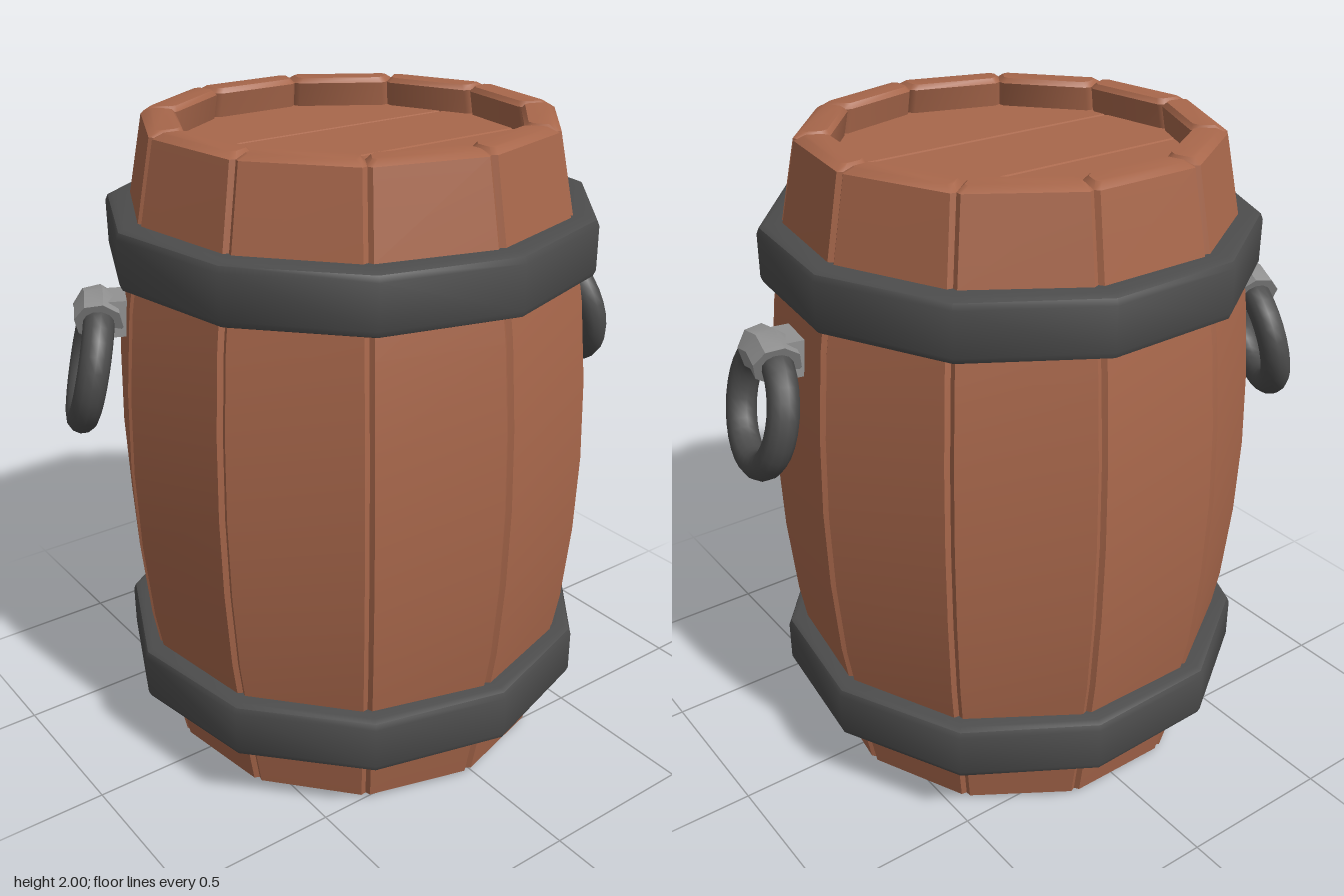
import * as THREE from 'three';
import { toCreasedNormals } from 'three/addons/utils/BufferGeometryUtils.js';

const N = 11;                      // staves around the barrel
const HALF = Math.PI / N;

const wood = new THREE.MeshStandardMaterial({ color: 0xa8674b });
wood.name = 'wood';
const iron = new THREE.MeshStandardMaterial({ color: 0x4c4c4c });
iron.name = 'dark iron';
const steel = new THREE.MeshStandardMaterial({ color: 0x929292 });
steel.name = 'grey steel';

function add(parent, name, geometry, material) {
  const mesh = new THREE.Mesh(geometry, material);
  mesh.name = name;
  parent.add(mesh);
  return mesh;
}

// Stave outline: height, corner radius, inset of the rounded ends
const LEVELS = [
  [0, 0.615, 0.015], [0.015, 0.62, 0], [0.25, 0.668, 0], [0.5, 0.711, 0], [0.75, 0.734, 0], [1, 0.742, 0],
  [1.25, 0.734, 0], [1.5, 0.711, 0], [1.75, 0.668, 0], [1.985, 0.62, 0], [2, 0.615, 0.015],
];

// One stave: a bevelled wedge section lofted up the bulging outline
function staveGeometry() {
  const b = 0.014, thick = 0.1, pos = [];
  const rings = LEVELS.map(([y, r, e]) => {
    const o = r * Math.cos(HALF) - e, i = r * Math.cos(HALF) - thick + e;
    const hw = a => a * Math.tan(HALF) - e;
    const right = [[hw(o) - b, o], [hw(o - b), o - b], [hw(i + b), i + b], [hw(i) - b, i]];
    const left = right.map(([x, z]) => [-x, z]).reverse();
    return [...right, ...left].map(([x, z]) => [x, y, z]);
  });
  const tri = (...pts) => pts.forEach(p => pos.push(...p));
  for (let k = 0; k < rings.length - 1; k++) {
    const lo = rings[k], hi = rings[k + 1];
    for (let j = 0; j < 8; j++) {
      const n = (j + 1) % 8;
      tri(lo[j], lo[n], hi[n]);
      tri(lo[j], hi[n], hi[j]);
    }
  }
  const bottom = rings[0], top = rings[rings.length - 1];
  for (let j = 1; j < 7; j++) {
    tri(top[0], top[j], top[j + 1]);
    tri(bottom[0], bottom[j + 1], bottom[j]);
  }
  const g = new THREE.BufferGeometry();
  g.setAttribute('position', new THREE.Float32BufferAttribute(pos, 3));
  return toCreasedNormals(g, 0.7);
}

// Keep the part of a polygon where side * (y - limit) >= 0
function clip(points, limit, side) {
  const out = [];
  points.forEach((p, i) => {
    const q = points[(i + 1) % points.length];
    const dp = side * (p.y - limit), dq = side * (q.y - limit);
    if (dp >= 0) out.push(p);
    if (dp * dq < 0) out.push(p.clone().lerp(q, dp / (dp - dq)));
  });
  return out;
}

// Lid plank: a strip of the eleven-sided lid between two z values
function plankGeometry(z0, z1) {
  let pts = [];
  for (let k = 0; k < N; k++) {
    const a = k * 2 * HALF;
    pts.push(new THREE.Vector2(-0.58 * Math.sin(a), -0.58 * Math.cos(a)));
  }
  pts = clip(clip(pts, -z1, 1), -z0, -1);
  const g = new THREE.ExtrudeGeometry(new THREE.Shape(pts), {
    depth: 0.03, bevelThickness: 0.01, bevelSize: 0.008, bevelOffset: -0.008, bevelSegments: 2,
  });
  return g.rotateX(-Math.PI / 2);
}

// Iron hoop: rounded rectangular section swept round eleven sides
function hoopGeometry(outer, inner, height) {
  const h = height / 2, c = 0.025;
  const profile = [
    [inner, -h], [outer - c, -h], [outer - c * 0.3, -h + c * 0.3], [outer, -h + c],
    [outer, h - c], [outer - c * 0.3, h - c * 0.3], [outer - c, h], [inner, h], [inner, -h],
  ].map(([x, y]) => new THREE.Vector2(x, y));
  return toCreasedNormals(new THREE.LatheGeometry(profile, N), 0.7);
}

// Hanging ring held by a faceted cuff and a short stub
function makeHandle(name, angle) {
  const handle = new THREE.Group();
  handle.name = name;
  handle.rotation.y = angle;

  const hanging = new THREE.Group();
  hanging.name = 'hangingRing';
  hanging.position.set(0, 1.28, 0.805);
  hanging.rotation.x = -0.24;
  handle.add(hanging);
  const R = 0.168, arc = 0.84, start = Math.PI / 2 - arc / 2;
  add(hanging, 'ring', new THREE.TorusGeometry(R, 0.046, 12, 28), iron);

  const cuffGeo = new THREE.TorusGeometry(R, 0.072, 8, 2, arc).rotateZ(start);
  add(hanging, 'cuff', toCreasedNormals(cuffGeo, 0.5), steel);
  for (const s of [-1, 1]) {
    const cap = new THREE.CircleGeometry(0.072, 8).rotateX(-s * Math.PI / 2)
      .translate(R, 0, 0).rotateZ(Math.PI / 2 + s * arc / 2);
    add(hanging, 'cuffEnd', cap, steel);
  }

  const stub = add(handle, 'stub', new THREE.BoxGeometry(0.13, 0.11, 0.09), steel);
  stub.position.set(0, 1.435, 0.715);
  return handle;
}

export function createModel() {
  const model = new THREE.Group();
  model.name = 'barrel';
  const body = new THREE.Group();
  body.name = 'body';
  body.position.set(-0.018, 0, -0.013);
  model.add(body);

  // Staves, with one seam facing the front
  const stave = staveGeometry();
  for (let k = 0; k < N; k++) {
    add(body, 'stave', stave, wood).rotation.y = (2 * k + 1) * HALF;
  }

  // Three lid planks set below the rim
  for (const [z0, z1] of [[-0.6, -0.17], [-0.17, 0.16], [0.16, 0.6]]) {
    add(body, 'lidPlank', plankGeometry(z0, z1), wood).position.y = 1.87;
  }

  // Bottom board
  add(body, 'bottomBoard', new THREE.CylinderGeometry(0.56, 0.56, 0.04, N), wood).position.y = 0.045;

  // Two hoops, turned slightly off the seams
  for (const [name, y, outer, inner] of [['lowerHoop', 0.295, 0.75, 0.64], ['upperHoop', 1.66, 0.74, 0.64]]) {
    const hoop = add(body, name, hoopGeometry(outer, inner, 0.18), iron);
    hoop.position.y = y;
    hoop.rotation.y = 0.026;
  }

  // Handles sit in the middle of two staves
  body.add(makeHandle('leftHandle', 5 * HALF));
  body.add(makeHandle('rightHandle', 15 * HALF));
  return model;
}
